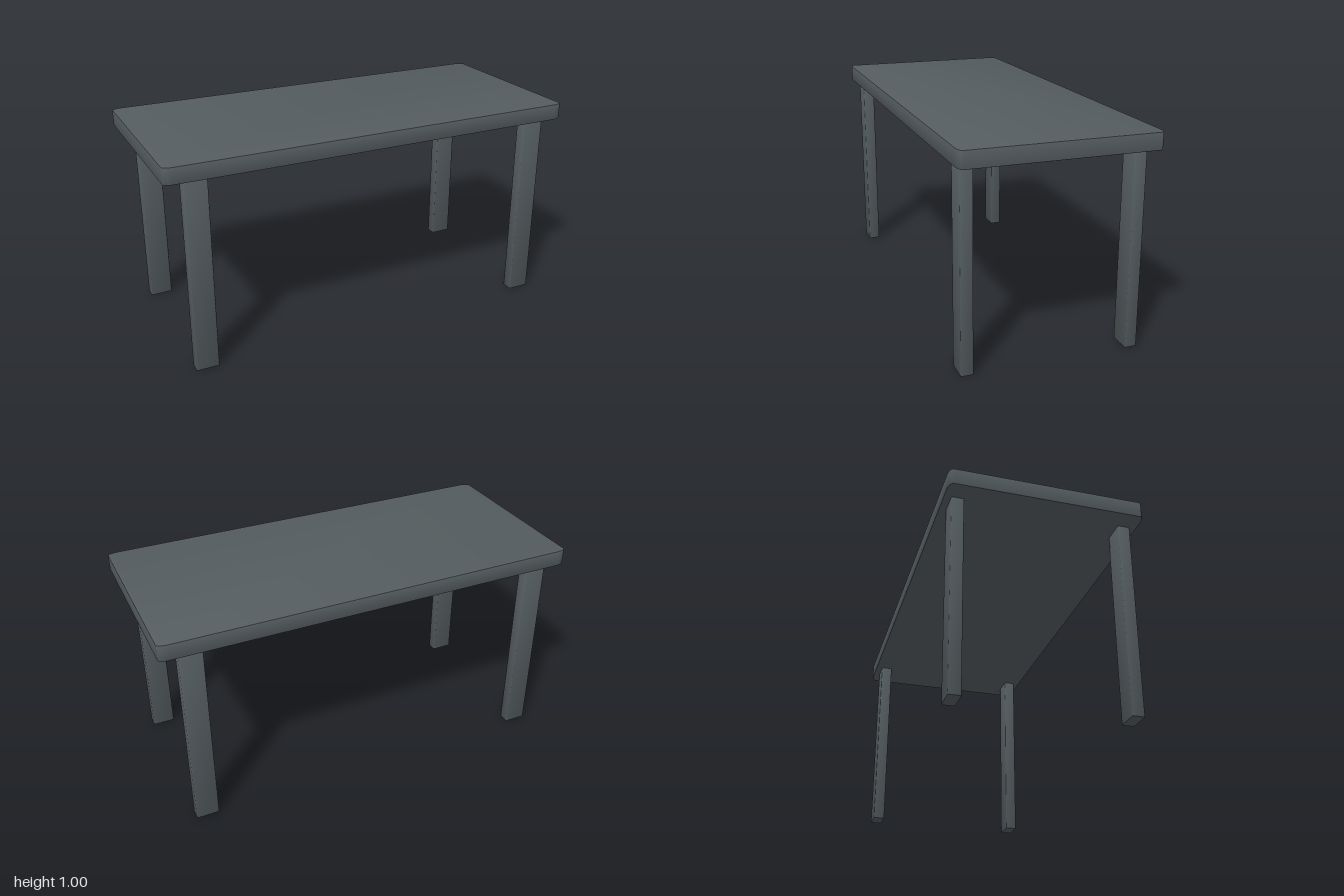
import * as THREE from 'three';
import { toCreasedNormals } from 'three/addons/utils/BufferGeometryUtils.js';

// Upright block with elliptical vertical corners and a fine bevel, standing on y = 0
function roundedBlock(width, height, depth, rx, rz, bevel) {
  const x = width / 2 - bevel, z = depth / 2 - bevel;
  const quarter = Math.PI / 2;
  const outline = new THREE.Shape();
  [[1, 1], [-1, 1], [-1, -1], [1, -1]].forEach(([sx, sz], i) => {
    outline.absellipse(sx * (x - rx), sz * (z - rz), rx, rz, i * quarter, (i + 1) * quarter, false, 0);
  });
  const geometry = new THREE.ExtrudeGeometry(outline, {
    depth: height - 2 * bevel,
    bevelEnabled: true,
    bevelThickness: bevel,
    bevelSize: bevel,
    bevelSegments: 2,
    curveSegments: 6,
  });
  geometry.rotateX(-Math.PI / 2).translate(0, bevel, 0);
  return toCreasedNormals(geometry, Math.PI / 5);
}

export function createModel() {
  const table = new THREE.Group();
  table.name = 'table';
  const slate = new THREE.MeshStandardMaterial({ color: 0x545c5f });
  slate.name = 'slate grey';

  // Tabletop
  const legHeight = 0.923;
  const top = new THREE.Mesh(roundedBlock(2, 1 - legHeight, 0.886, 0.045, 0.018, 0.003), slate);
  top.name = 'tabletop';
  top.position.y = legHeight;
  table.add(top);

  // Four legs set in from the corners
  const legGeometry = roundedBlock(0.108, legHeight, 0.057, 0.004, 0.003, 0.003);
  for (const [side, sx] of [['Left', 1], ['Right', -1]]) {
    for (const [end, sz] of [['front', 1], ['back', -1]]) {
      const leg = new THREE.Mesh(legGeometry, slate);
      leg.name = `${end}${side}Leg`;
      leg.position.set(sx * 0.858, 0, sz * 0.383);
      table.add(leg);
    }
  }
  return table;
}
